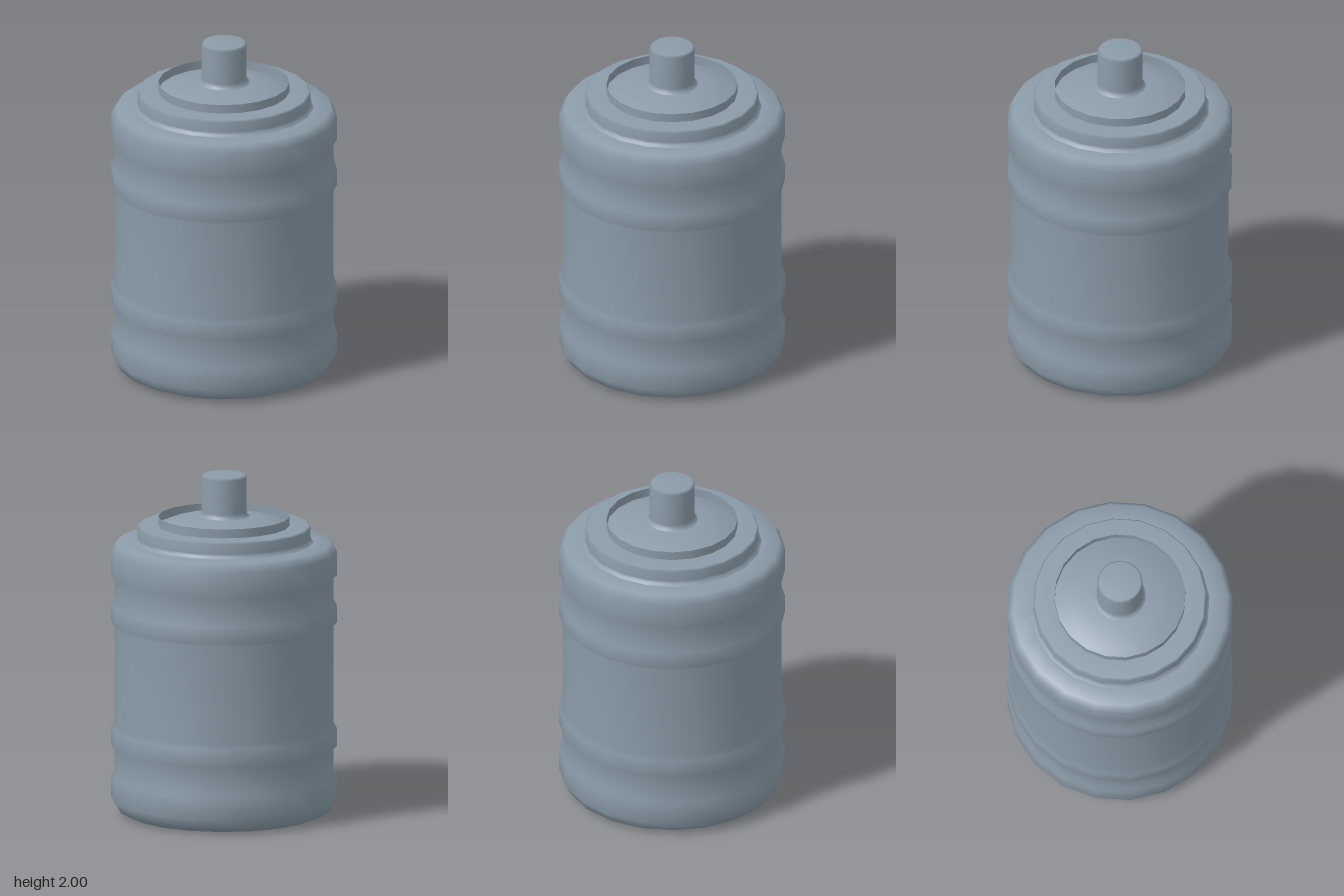
import * as THREE from 'three';

const SIDES = 20;

export function createModel() {
  const model = new THREE.Group();
  model.name = 'waterJug';
  const blueGrey = new THREE.MeshStandardMaterial({ color: 0x8a9ba8 });
  blueGrey.name = 'blueGrey';
  const thinBlueGrey = blueGrey.clone();
  thinBlueGrey.side = THREE.DoubleSide;

  // Turned part from [radius, height] pairs, listed bottom to top
  const turn = (name, profile, material = blueGrey) => {
    const points = profile.map(([r, y]) => new THREE.Vector2(r, y));
    const mesh = new THREE.Mesh(new THREE.LatheGeometry(points, SIDES), material);
    mesh.name = name;
    model.add(mesh);
  };

  const R = 0.655, G = 0.635; // raised bands and recessed wall

  // Flat base
  turn('base', [[0, 0], [0.56, 0]]);

  // Ribbed body, rounded at the foot and shoulder
  turn('body', [
    [0.56, 0], [0.615, 0.025], [R, 0.09], [R, 0.215],
    [G, 0.24], [G, 0.38], [R, 0.4], [R, 0.505],
    [G, 0.53], [G, 1.11], [R, 1.13], [R, 1.23],
    [G, 1.25], [G, 1.39], [R, 1.41], [R, 1.55],
    [0.622, 1.6], [0.52, 1.603],
  ]);

  // Stepped collar
  turn('collar', [
    [0.52, 1.603], [0.505, 1.615], [0.502, 1.63], [0.502, 1.688], [0.492, 1.7], [0.37, 1.7],
  ]);

  // Thin upright lip around the dome
  turn('lip', [[0.38, 1.698], [0.38, 1.752]], thinBlueGrey);

  // Low dome flowing into the neck
  turn('dome', [
    [0.38, 1.7], [0.31, 1.727], [0.23, 1.747], [0.15, 1.755],
  ]);
  turn('neck', [
    [0.15, 1.755], [0.137, 1.765], [0.131, 1.785], [0.131, 1.985], [0.12, 2], [0, 2],
  ]);

  return model;
}
